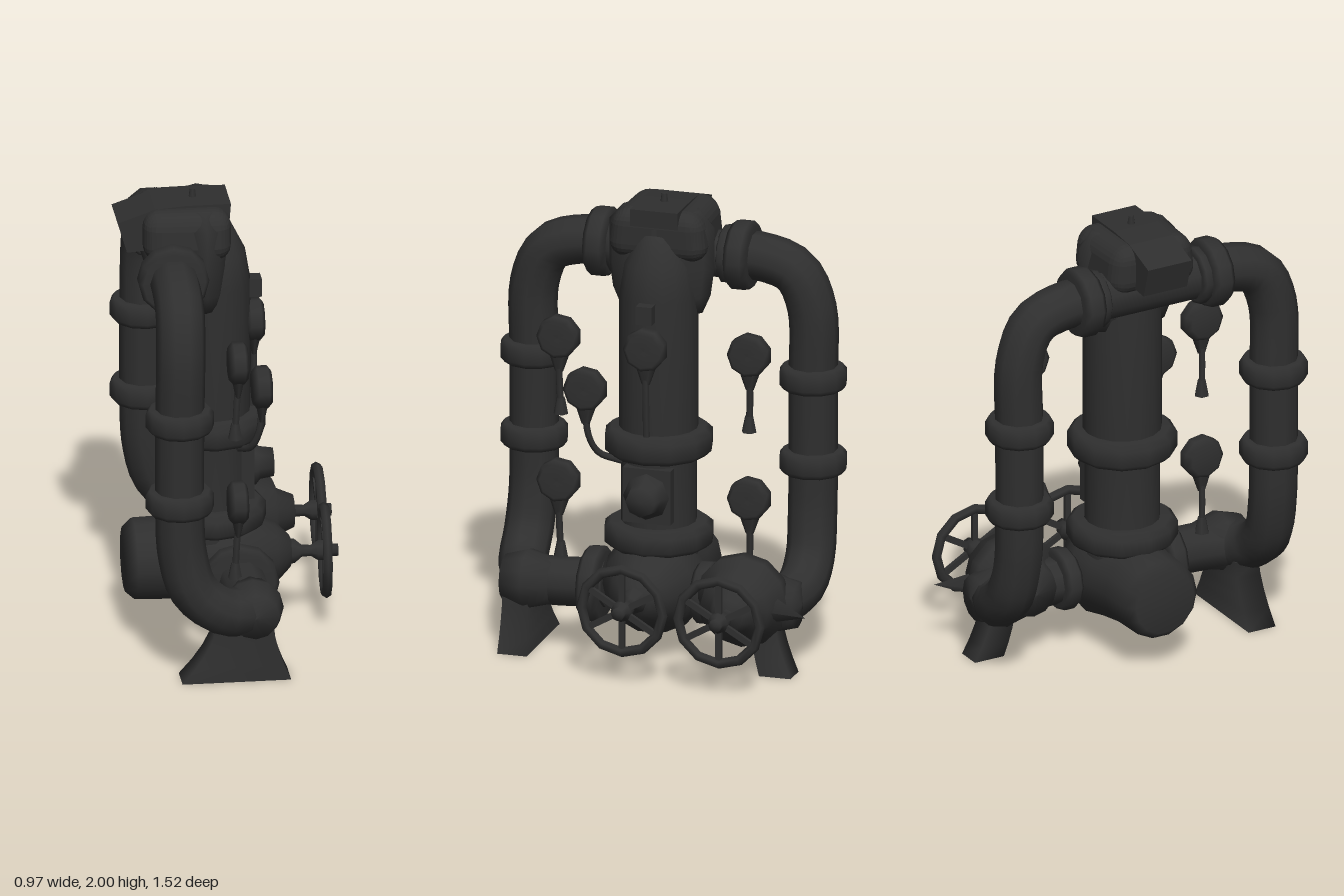
import * as THREE from 'three';
import { RoundedBoxGeometry } from 'three/addons/geometries/RoundedBoxGeometry.js';

const iron = new THREE.MeshStandardMaterial({ color: 0x2f2f2f });
iron.name = 'dark iron';
const V = (x, y, z) => new THREE.Vector3(x, y, z);

export function createModel() {
  const root = new THREE.Group();
  root.name = 'pipeAssembly';

  const add = (name, geo, x = 0, y = 0, z = 0, parent = root) => {
    const m = new THREE.Mesh(geo, iron);
    m.name = name;
    m.position.set(x, y, z);
    parent.add(m);
    return m;
  };

  // Turned part from [radius, height] points, along axis x, y or z
  const turned = (name, pts, axis, x, y, z, parent = root, sides = 12) => {
    const g = new THREE.LatheGeometry(pts.map(p => new THREE.Vector2(p[0], p[1])), sides);
    if (axis === 'x') g.rotateZ(-Math.PI / 2);
    if (axis === 'z') g.rotateX(Math.PI / 2);
    return add(name, g, x, y, z, parent);
  };

  // Rounded collar of radius r and height h
  const collar = (name, r, h, axis, x, y, z) => turned(name, [
    [0, -h / 2], [r * 0.88, -h / 2], [r, -h * 0.28], [r, h * 0.28], [r * 0.88, h / 2], [0, h / 2],
  ], axis, x, y, z);

  const pipe = (name, pts, r, seg = 20, sides = 10) =>
    add(name, new THREE.TubeGeometry(new THREE.CatmullRomCurve3(pts, false, 'centripetal'), seg, r, sides));

  // Foot lofted from a narrow neck to a flared sole
  const foot = (name, rule) => {
    const g = new THREE.CylinderGeometry(Math.SQRT2, Math.SQRT2, 1, 4, 4).rotateY(Math.PI / 4);
    const p = g.attributes.position;
    for (let i = 0; i < p.count; i++) {
      const t = p.getY(i) + 0.5;
      const [x, w, z, d] = rule((1 - t) ** 1.6);
      p.setXYZ(i, x + p.getX(i) * w, t * 0.26 + 0.005, z + p.getZ(i) * d);
    }
    g.computeVertexNormals();
    add(name, g);
  };

  // Central column with its collars
  const cx = -0.083;
  turned('column', [[0.17, 0.4], [0.16, 0.6], [0.16, 0.9], [0.168, 1], [0.168, 1.58], [0.145, 1.72], [0.08, 1.85], [0, 1.88]],
    'y', cx, 0, 0, root, 16);
  collar('columnUpperCollar', 0.232, 0.12, 'y', cx, 0.94, 0);
  collar('columnLowerCollar', 0.235, 0.11, 'y', cx, 0.53, 0);
  add('portPlate', new THREE.BoxGeometry(0.1, 0.24, 0.21), 0.04, 0.735, 0);
  turned('columnPort', [[0.1, 0], [0.1, 0.1], [0.075, 0.12], [0.065, 0.18], [0, 0.18]], 'x', 0, 0.735, 0, root, 8);

  // Head: rounded cap over a tapering block, with a strip sloping out to the back lip
  const lip = new THREE.Shape();
  [[-0.49, 1.9], [-0.45, 1.765], [-0.3, 1.775], [-0.12, 1.72], [-0.03, 1.7], [-0.01, 1.965], [-0.2, 1.965], [-0.33, 1.955]]
    .forEach((p, i) => (i ? lip.lineTo(...p) : lip.moveTo(...p)));
  const lipGeo = new THREE.ExtrudeGeometry(lip, { depth: 0.21, bevelEnabled: false });
  add('hoodLip', lipGeo.translate(0, 0, -0.105));
  // Cap narrows a little towards the top and towards the back
  const cap = new RoundedBoxGeometry(0.37, 0.22, 0.43, 3, 0.07);
  const cp = cap.attributes.position;
  for (let i = 0; i < cp.count; i++) {
    const up = Math.max(0, cp.getY(i)) / 0.11, back = Math.max(0, -cp.getX(i)) / 0.185;
    cp.setZ(i, cp.getZ(i) * (1 - 0.12 * up) * (1 - 0.08 * back));
  }
  cap.computeVertexNormals();
  add('hood', cap, -0.2, 1.845, 0);
  turned('headBlock', [[0, 1.5], [0.18, 1.5], [0.215, 1.58], [0.232, 1.7], [0.232, 1.88], [0.17, 1.95], [0, 1.95]],
    'y', -0.125, 0, 0).scale.x = 0.48;
  add('hoodStud', new THREE.CylinderGeometry(0.012, 0.018, 0.04, 6), -0.16, 1.98, 0);
  const joint = new THREE.CylinderGeometry(0.105, 0.105, 0.62, 10);
  add('headCrossPipe', joint.rotateX(Math.PI / 2), -0.27, 1.72, 0);

  // Side pipes, mirrored front and back
  for (const s of [1, -1]) {
    const side = s > 0 ? 'front' : 'back';
    pipe(side + 'Pipe', [
      V(-0.28, 1.72, 0.28 * s), V(-0.28, 1.72, 0.4 * s), V(-0.28, 1.67, 0.54 * s), V(-0.285, 1.52, 0.61 * s),
      V(-0.29, 1.2, 0.615 * s), V(-0.29, 0.84, 0.615 * s), V(-0.28, 0.6, 0.615 * s), V(-0.23, 0.43, 0.62 * s),
      V(-0.12, 0.33, 0.61 * s), V(-0.01, 0.3, 0.56 * s), V(0.02, 0.3, 0.44 * s), V(0.01, 0.31, 0.2 * s),
    ], 0.104, 44);
    collar(side + 'UpperCollar', 0.145, 0.1, 'y', -0.29, 1.21, 0.615 * s);
    collar(side + 'LowerCollar', 0.145, 0.1, 'y', -0.29, 0.84, 0.615 * s);
    collar(side + 'HeadCollar', 0.15, 0.1, 'z', -0.28, 1.72, 0.31 * s);
    collar(side + 'HeadRing', 0.125, 0.05, 'z', -0.28, 1.72, 0.245 * s);
    turned(side + 'ElbowBoss', [[0, -0.13], [0.1, -0.11], [0.13, 0], [0.1, 0.1], [0, 0.12]], 'z', 0.03, 0.3, 0.54 * s);
  }
  collar('frontBaseCollar', 0.165, 0.09, 'z', 0.01, 0.3, 0.25);
  collar('backBaseCollar', 0.135, 0.08, 'z', 0.01, 0.31, -0.24);
  foot('frontFoot', f => [-0.015 - 0.035 * f, 0.12 + 0.11 * f, 0.575 - 0.01 * f, 0.055 + 0.01 * f]);
  foot('backFoot', f => [0.06 + 0.02 * f, 0.055, -0.515 - 0.065 * f, 0.055 + 0.015 * f]);
  add('backSpur', new THREE.ConeGeometry(0.07, 0.22, 4).rotateX(-Math.PI / 2).rotateY(-0.45), 0.17, 0.31, -0.64);

  // Valve bodies across the base
  turned('mainValveBody', [[0, -0.45], [0.14, -0.45], [0.175, -0.41], [0.18, -0.25], [0.2, -0.12], [0.225, -0.02],
    [0.2, 0.07], [0.16, 0.13], [0.13, 0.19], [0.07, 0.25], [0, 0.28]], 'x', 0, 0.325, 0, root, 14);
  turned('backValveBody', [[0, -0.12], [0.11, -0.09], [0.14, 0.02], [0.2, 0.07], [0.2, 0.13], [0.165, 0.16],
    [0.15, 0.23], [0.1, 0.25], [0.07, 0.32], [0, 0.33]], 'x', 0, 0.325, -0.43);

  // Handwheels on stems
  for (const [name, x, z, tilt] of [['mainHandwheel', 0.4, 0.01, 0.05], ['backHandwheel', 0.425, -0.425, 0.02]]) {
    const wheel = new THREE.Group();
    wheel.name = name;
    wheel.position.set(x, 0.325, z);
    wheel.rotation.y = -tilt;
    root.add(wheel);
    add('rim', new THREE.TorusGeometry(0.182, 0.022, 6, 12).rotateY(Math.PI / 2), 0, 0, 0, wheel);
    turned('stem', [[0.065, -0.2], [0.055, -0.13], [0.028, -0.1], [0.025, -0.06], [0.045, -0.03], [0.045, 0.015],
      [0.028, 0.025], [0.028, 0.055], [0, 0.055]], 'x', 0, 0, 0, wheel, 8);
    for (let i = 0; i < 6; i++) {
      const spoke = new THREE.BoxGeometry(0.018, 0.17, 0.026);
      add('spoke', spoke.translate(0, 0.095, 0).rotateX(i * Math.PI / 3), 0, 0, 0, wheel);
    }
  }

  // Pressure gauges: drum facing +x, tapering neck and a hanging stem
  const gauge = (x, y, z, path) => {
    turned('gauge', [[0, -0.04], [0.07, -0.04], [0.093, -0.02], [0.093, 0.025], [0.075, 0.04], [0, 0.035]], 'x', x, y, z, root, 9);
    add('gaugeNeck', new THREE.CylinderGeometry(0.05, 0.018, 0.09, 6).scale(0.6, 1, 1), x, y - 0.11, z);
    pipe('gaugeStem', [V(x, y - 0.12, z), ...path], 0.015, 10, 6);
  };
  for (const s of [1, -1]) {
    for (const y of [1.37, 0.735]) {
      gauge(-0.02, y, 0.42 * s, [V(-0.025, y - 0.2, 0.42 * s), V(-0.03, y - 0.32, 0.415 * s)]);
      add('gaugeFitting', new THREE.CylinderGeometry(0.018, 0.032, 0.07, 6), -0.03, y - 0.31, 0.415 * s);
    }
  }
  gauge(0.1, 1.19, 0.265, [V(0.09, 0.98, 0.255), V(0.06, 0.9, 0.22), V(0.02, 0.86, 0.13)]);
  gauge(0.1, 1.39, 0, [V(0.1, 1.18, 0), V(0.09, 1.0, 0)]);
  add('columnCap', new THREE.BoxGeometry(0.06, 0.08, 0.07), 0.1, 1.545, 0);

  return root;
}
